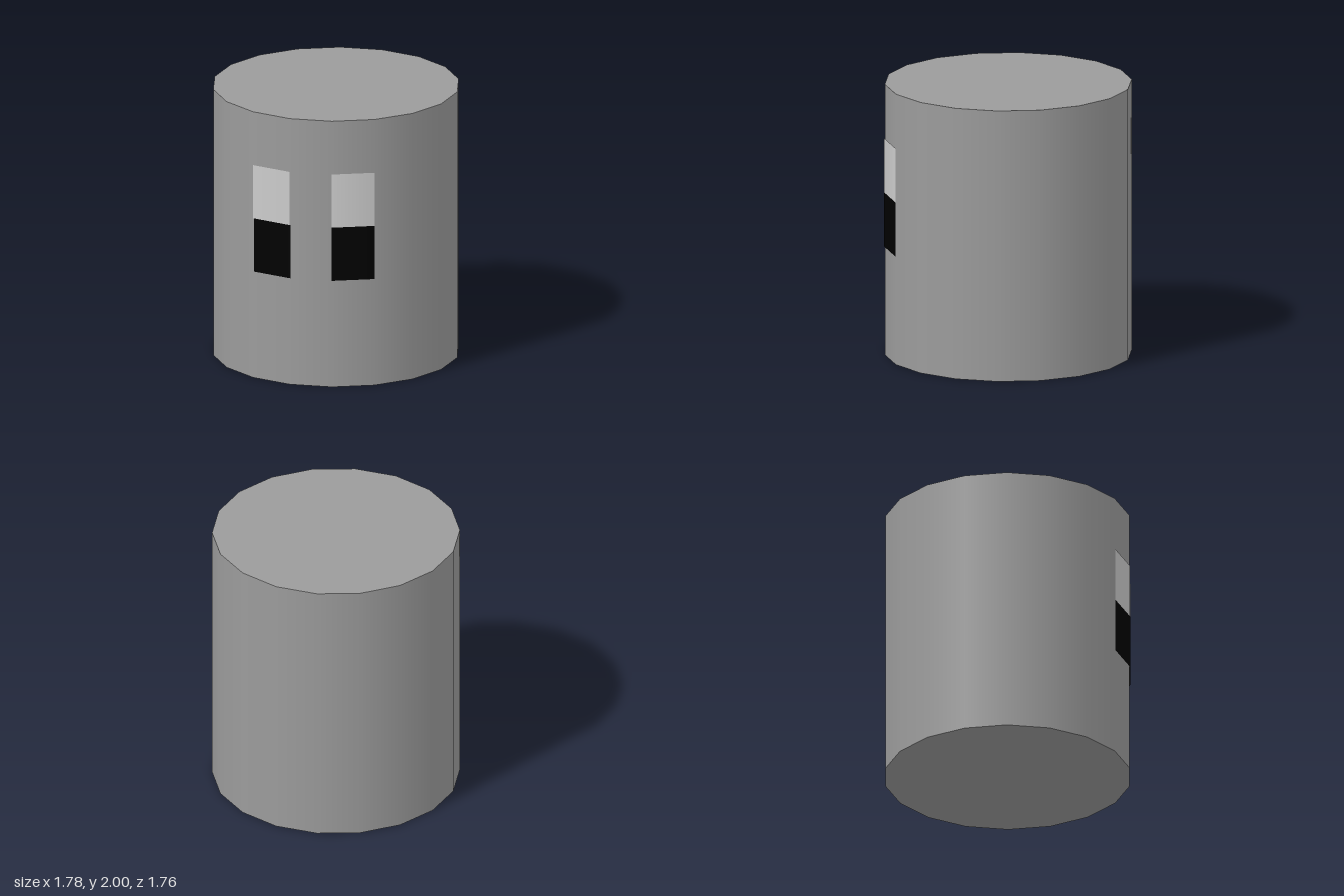
import * as THREE from 'three';

const RADIUS = 0.89;
const SIDES = 18;
const STEP = (Math.PI * 2) / SIDES;

export function createModel() {
  const group = new THREE.Group();

  // Eighteen-sided drum with smooth sides, one flat facing the front
  const body = new THREE.Mesh(
    new THREE.CylinderGeometry(RADIUS, RADIUS, 2, SIDES, 1, false, STEP / 2),
    new THREE.MeshStandardMaterial({ color: 0x9b9b9b })
  );
  body.name = 'body';
  body.position.set(0, 1, -0.002);
  group.add(body);

  // Each eye covers one side facet: pale upper half, black lower half
  const white = new THREE.MeshStandardMaterial({ color: 0xcccccc, side: THREE.DoubleSide });
  const black = new THREE.MeshStandardMaterial({ color: 0x000000, side: THREE.DoubleSide });
  const addPanel = (parent, name, start, x, y, z, material) => {
    const panel = new THREE.Mesh(
      new THREE.CylinderGeometry(RADIUS, RADIUS, 0.4, 1, 1, true, start, STEP),
      material
    );
    panel.name = name;
    panel.position.set(x, y, z);
    parent.add(panel);
  };

  // The right pupil sits slightly closer to the middle, slid along its facet
  for (const [name, start, slide] of [['leftEye', STEP / 2, 0], ['rightEye', -1.5 * STEP, 0.008]]) {
    const eye = new THREE.Group();
    eye.name = name;
    addPanel(eye, 'eyeWhite', start, 0, 1.4, 0.002, white);
    addPanel(eye, 'pupil', start, slide, 1.0, 0.002 + slide * Math.tan(STEP), black);
    group.add(eye);
  }

  return group;
}
